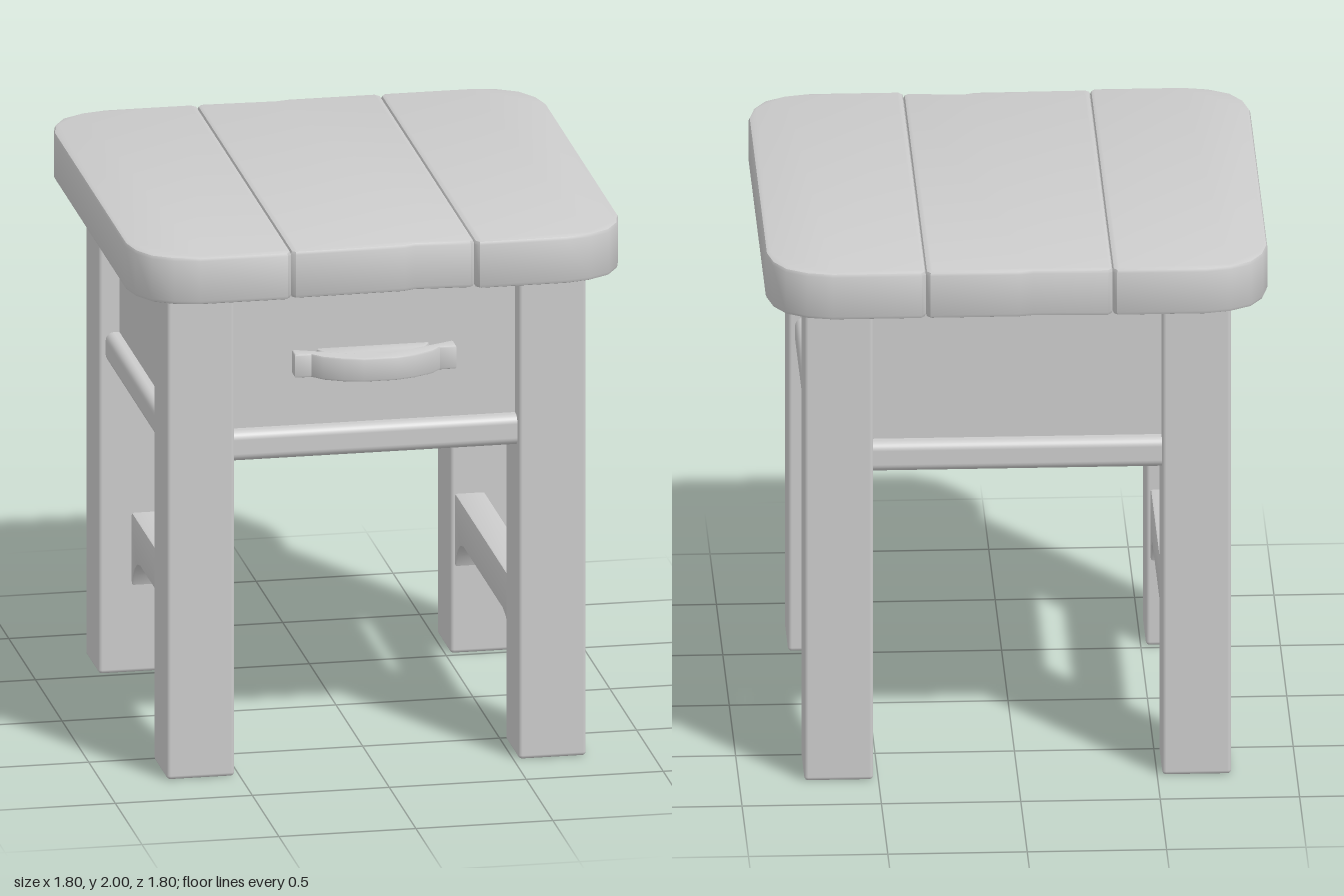
import * as THREE from 'three';
import { toCreasedNormals } from 'three/addons/utils/BufferGeometryUtils.js';
import { RoundedBoxGeometry } from 'three/addons/geometries/RoundedBoxGeometry.js';

const material = new THREE.MeshStandardMaterial({ color: 0xcccccc });

// Extrudes an outline to an exact thickness, with softly bevelled edges inside it
function slab(points, thickness, bevel) {
  const shape = new THREE.Shape(points.map(([x, y]) => new THREE.Vector2(x, y)));
  const geometry = new THREE.ExtrudeGeometry(shape, {
    depth: thickness - 2 * bevel, bevelThickness: bevel, bevelSize: bevel,
    bevelOffset: -bevel, bevelSegments: 2,
  });
  geometry.translate(0, 0, bevel - thickness / 2);
  return toCreasedNormals(geometry, 0.7);
}

// Same, for outlines drawn in plan (x, z) and given a height
const planSlab = (points, height, bevel) => slab(points, height, bevel).rotateX(Math.PI / 2);

const mirrorX = (points) => points.map(([x, y]) => [-x, y]).reverse();

export function createModel() {
  const group = new THREE.Group();
  group.name = 'sideTable';
  const add = (name, geometry, x, y, z) => {
    const mesh = new THREE.Mesh(geometry, material);
    mesh.name = name;
    mesh.position.set(x, y, z);
    group.add(mesh);
  };

  // Table top: two rounded outer planks and a slightly worn middle one
  const outerPlank = [
    [0.335, -0.88], [0.35, -0.9], [0.67, -0.9], [0.76, -0.88], [0.835, -0.835], [0.88, -0.76], [0.9, -0.67],
    [0.9, 0.67], [0.88, 0.76], [0.835, 0.835], [0.76, 0.88], [0.67, 0.9], [0.35, 0.9], [0.335, 0.88],
  ];
  const middlePlank = [
    [-0.335, -0.88], [-0.32, -0.9], [-0.05, -0.89], [0, -0.9], [0.32, -0.9], [0.335, -0.88],
    [0.335, 0.87], [0.32, 0.885], [0.12, 0.87], [0.08, 0.885], [-0.32, 0.89], [-0.335, 0.875],
  ];
  add('leftPlank', planSlab(outerPlank, 0.18, 0.015), 0, 1.91, 0);
  add('rightPlank', planSlab(mirrorX(outerPlank), 0.18, 0.015), 0, 1.91, 0);
  add('middlePlank', planSlab(middlePlank, 0.18, 0.015), 0, 1.91, 0);

  // Four square legs
  const leg = new RoundedBoxGeometry(0.247, 1.83, 0.247, 2, 0.014);
  for (const x of [-1, 1]) {
    for (const z of [-1, 1]) {
      add(`${z > 0 ? 'front' : 'back'}${x > 0 ? 'Left' : 'Right'}Leg`, leg, x * 0.642, 0.915, z * 0.642);
    }
  }

  // Drawer box and the rounded board beneath it, both set in from the leg faces
  add('drawerBox', new THREE.BoxGeometry(1.38, 0.56, 1.38), 0, 1.53, 0);
  add('bottomBoard', new RoundedBoxGeometry(1.48, 0.112, 1.48, 3, 0.03), 0, 1.227, 0);

  // Bowed handle, drawn in plan: flat feet joined by a curved grip
  const outer = [[-0.295, 0.68], [-0.295, 0.745], [-0.235, 0.745], [-0.2, 0.785], [-0.13, 0.82], [-0.06, 0.838]];
  const inner = [[0.06, 0.785], [0.13, 0.768], [0.18, 0.74], [0.21, 0.68]];
  const handle = [...outer, ...mirrorX(outer), ...inner, ...mirrorX(inner)];
  add('drawerHandle', planSlab(handle, 0.09, 0.008), 0, 1.52, 0);

  // Side stretchers with curved brackets at each end
  const bracket = [[0.55, 0.6], [0.55, 0.32], [0.515, 0.33], [0.5, 0.37], [0.475, 0.4], [0.43, 0.43], [0.37, 0.445]];
  const stretcher = slab([...bracket, ...mirrorX(bracket)].reverse(), 0.11, 0.008).rotateY(Math.PI / 2);
  for (const side of [-1, 1]) {
    add(side > 0 ? 'leftStretcher' : 'rightStretcher', stretcher, side * 0.59, 0, 0);
  }

  return group;
}
